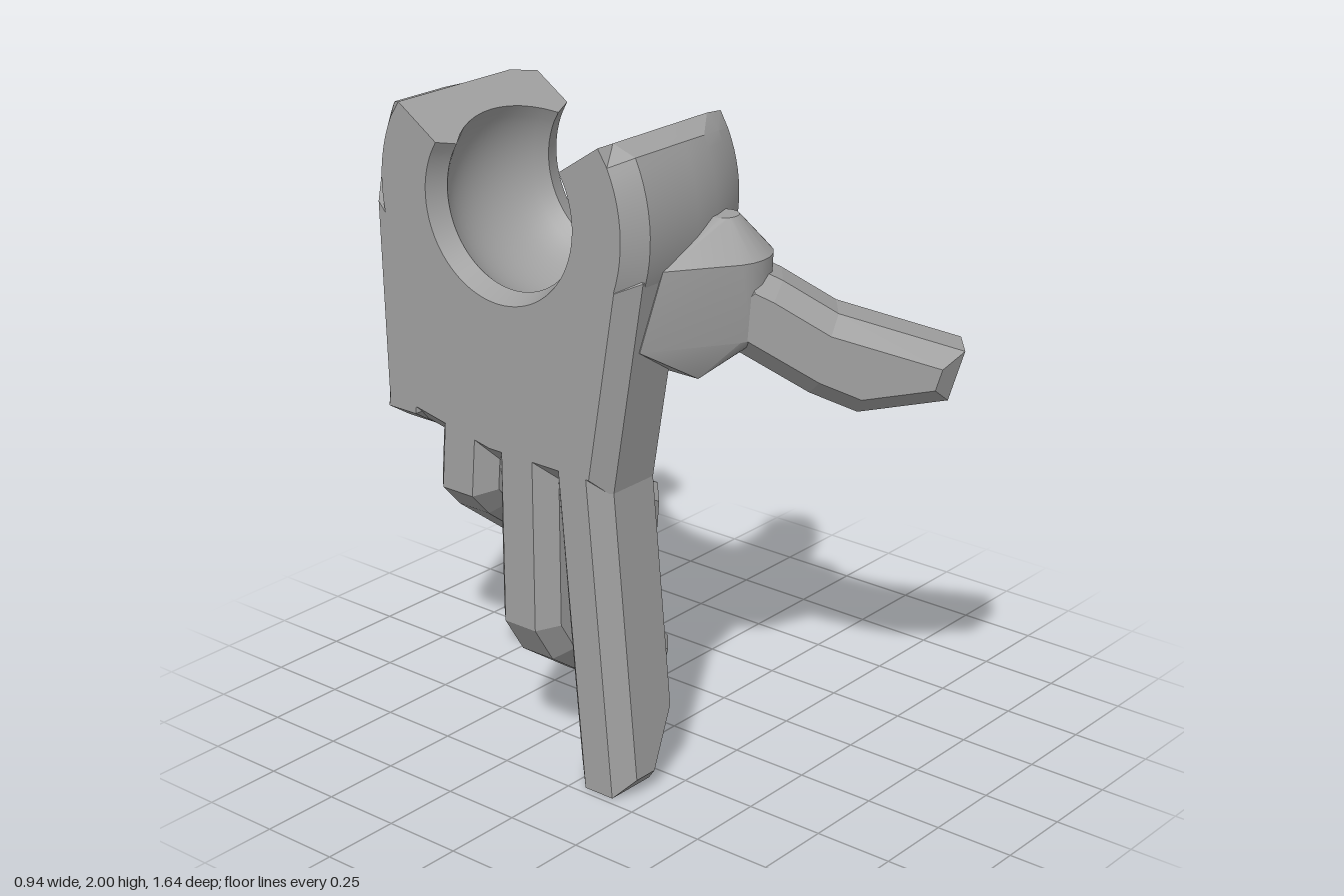
import * as THREE from 'three';
import { toCreasedNormals } from 'three/addons/utils/BufferGeometryUtils.js';
import { ConvexGeometry } from 'three/addons/geometries/ConvexGeometry.js';

const grey = new THREE.MeshStandardMaterial({ color: 0xa0a0a0 });
grey.name = 'grey plastic';

const BACK = -0.475, FRONT = -0.19;       // back and front of the palm
const RING = { y: 1.748, z: -0.26 };      // axis of the socket

function part(name, geometry) {
  const mesh = new THREE.Mesh(geometry, grey);
  mesh.name = name;
  return mesh;
}

// Outline extruded to a centred width, chamfered inward on both sides
function prism(points, width, bevel) {
  const shape = new THREE.Shape(points.map(p => new THREE.Vector2(p[0], p[1])));
  const g = new THREE.ExtrudeGeometry(shape, {
    depth: width - 2 * bevel, bevelEnabled: true, bevelThickness: bevel,
    bevelSize: bevel, bevelOffset: -bevel, bevelSegments: 1,
  });
  return g.translate(0, 0, bevel - width / 2);
}

// Finger outlined in side view; it leans sideways as it goes down
function finger(name, points, width, z1, y1, z0, y0) {
  const g = prism(points, width, 0.055);
  const pos = g.attributes.position;
  for (let i = 0; i < pos.count; i++) {
    const t = (y1 - pos.getY(i)) / (y1 - y0);
    pos.setZ(i, pos.getZ(i) + z1 + (z0 - z1) * t);
  }
  g.computeVertexNormals();
  return part(name, g);
}

// Open ring with a spherical bore and chamfered ends
function socketRing() {
  const profile = [
    [BACK, 0.46], [-0.41, 0.513], [-0.2, 0.513], [-0.1, 0.502], [0, 0.472], [0.095, 0.425],
    [0.095, 0.283],
  ];
  for (let i = 0; i <= 12; i++) {
    const dx = 0.22 - 0.44 * i / 12;
    profile.push([FRONT + dx, Math.sqrt(0.338 ** 2 - dx * dx)]);
  }
  profile.push([BACK, 0.283]);

  const rad = Math.PI / 180, steps = 56, sections = [];
  const addSection = (deg, maxR) => sections.push(profile.map(([x, r]) => {
    const q = Math.min(r, maxR), a = deg * rad;
    return [x, RING.y + q * Math.sin(a), RING.z + q * Math.cos(a)];
  }));
  addSection(-213.5, 0.456);
  for (let i = 0; i <= steps; i++) addSection(-206 + 232 * i / steps, 1);
  addSection(33.5, 0.456);

  const out = [], n = profile.length;
  const tri = (a, b, c) => out.push(...a, ...b, ...c);
  for (let j = 0; j < sections.length - 1; j++) {
    const s = sections[j], t = sections[j + 1];
    for (let i = 0; i < n; i++) {
      const k = (i + 1) % n;
      tri(s[i], s[k], t[k]);
      tri(s[i], t[k], t[i]);
    }
  }
  const flat = profile.map(([x, r]) => new THREE.Vector2(x, -Math.min(r, 0.456)));
  const first = sections[0], last = sections[sections.length - 1];
  for (const [a, b, c] of THREE.ShapeUtils.triangulateShape(flat, [])) {
    tri(last[a], last[b], last[c]);
    tri(first[a], first[c], first[b]);
  }
  const g = new THREE.BufferGeometry();
  g.setAttribute('position', new THREE.Float32BufferAttribute(out, 3));
  return part('socketRing', toCreasedNormals(g, 0.35));
}

// Palm plate whose upper edge is hidden inside the ring
function palm() {
  const pts = [[-0.12, 0.95], [0.32, 0.95], [0.775, 1.04], [0.775, 1.75]];
  for (let i = 0; i <= 20; i++) {
    const a = -(10 + 160 * i / 20) * Math.PI / 180;
    pts.push([-RING.z + 0.4 * Math.cos(a), RING.y + 0.4 * Math.sin(a)]);
  }
  pts.push([-0.235, 1.62]);
  const g = prism(pts, FRONT - BACK, 0.055);
  return part('palm', g.rotateY(Math.PI / 2).translate((BACK + FRONT) / 2, 0, 0));
}

// Thumb root: faceted block blending into a rounded, cone-topped joint
function thumbBase() {
  const pts = [
    [-0.34, 1.635, 0.24], [-0.34, 1.635, 0.05], [-0.395, 1.4, 0.2], [-0.395, 1.4, 0],
    [-0.22, 1.29, 0.27], [-0.22, 1.29, 0], [-0.03, 1.29, 0.22], [-0.03, 1.29, 0.05],
  ].map(p => new THREE.Vector3(...p));
  for (const [y, r] of [[1.745, 0.045], [1.635, 0.143], [1.4, 0.135]]) {
    for (let i = 0; i < 24; i++) {
      const a = i / 24 * Math.PI * 2;
      pts.push(new THREE.Vector3(-0.08 + r * Math.cos(a), y, 0.248 + r * Math.sin(a)));
    }
  }
  return part('thumbBase', toCreasedNormals(new ConvexGeometry(pts), 0.4));
}

function thumb() {
  const g = prism([
    [-0.12, 1.4], [-0.08, 1.36], [0.14, 1.225], [0.28, 1.165], [0.54, 1.2],
    [0.585, 1.35], [0.22, 1.465], [0.06, 1.565], [-0.03, 1.61], [-0.12, 1.53],
  ], 0.235, 0.055);
  g.rotateY(-50.2 * Math.PI / 180).translate(-0.01, 0, 0.33);
  return part('thumb', g);
}

export function createModel() {
  const hand = new THREE.Group();
  hand.name = 'hand';
  hand.add(socketRing(), palm(), thumbBase(), thumb());

  // Four fingers, increasingly curled towards the little one
  hand.add(finger('indexFinger', [
    [BACK, 0], [-0.305, 0], [FRONT, 0.22], [FRONT, 1.08], [BACK, 1.08],
  ], 0.215, 0.015, 0.95, 0.1, 0));
  hand.add(finger('middleFinger', [
    [BACK, 0.46], [-0.4, 0.34], [-0.2, 0.2], [0.07, 0.07], [0.145, 0.215], [0.02, 0.35],
    [-0.04, 0.41], [-0.085, 0.44], [FRONT, 0.6], [FRONT, 1.08], [BACK, 1.08],
  ], 0.23, -0.205, 1, -0.205, 0));
  hand.add(finger('ringFinger', [
    [BACK, 0.83], [-0.4, 0.75], [FRONT, 0.59], [0.03, 0.42], [0.08, 0.405], [0.41, 0.405],
    [0.41, 0.585], [0.18, 0.695], [0.13, 0.7], [0, 0.785], [FRONT, 0.96], [FRONT, 1.12], [BACK, 1.12],
  ], 0.23, -0.435, 1, -0.483, 0.4));
  hand.add(finger('littleFinger', [
    [BACK, 1.04], [-0.38, 0.98], [FRONT, 0.92], [0, 0.77], [0.06, 0.73], [0.145, 0.73],
    [0.47, 0.905], [0.39, 1.06], [0.14, 1.05], [0.08, 1.02], [-0.05, 1.02],
    [FRONT, 1.11], [FRONT, 1.2], [BACK, 1.2],
  ], 0.22, -0.66, 1.1, -0.715, 0.75));
  return hand;
}
